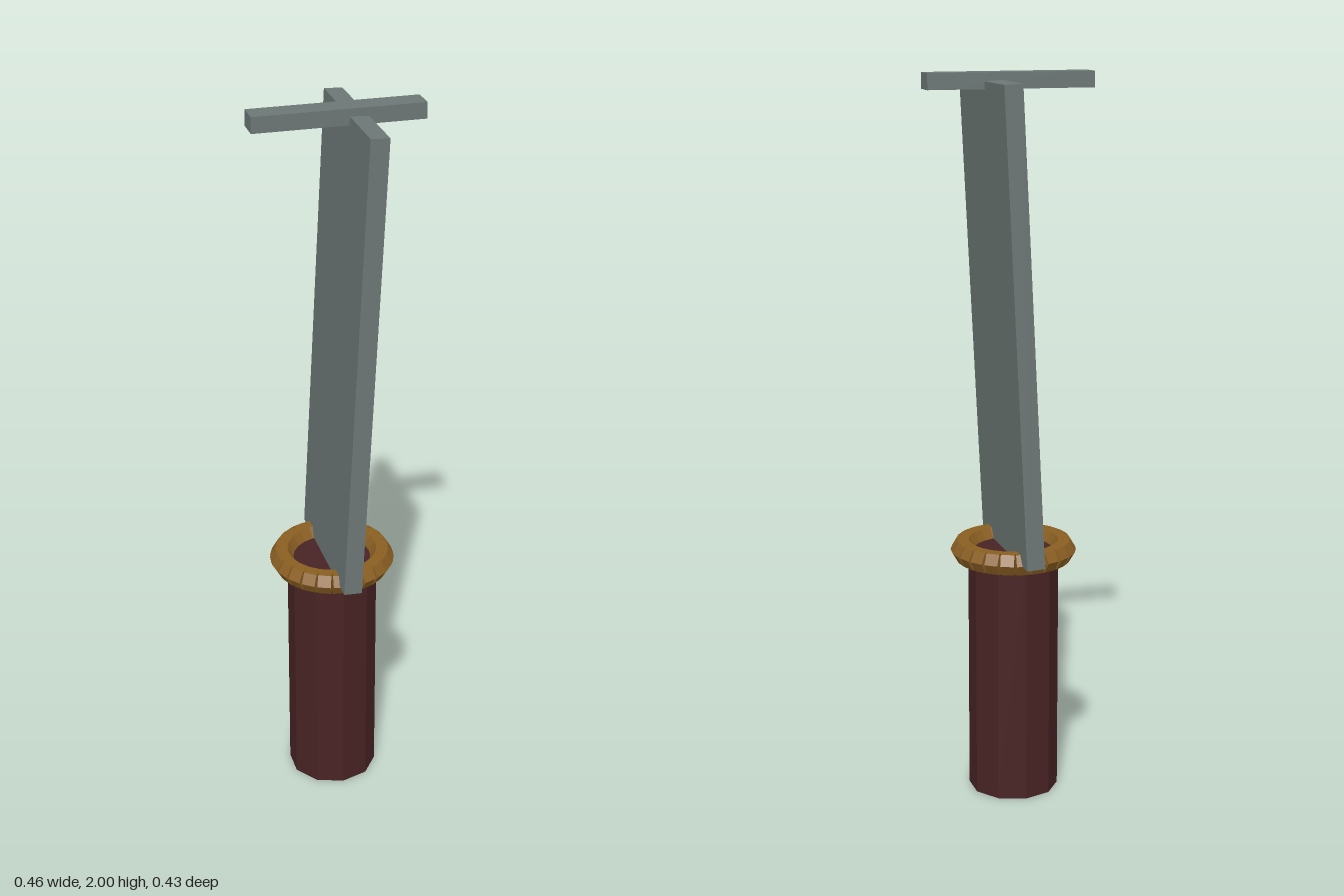
import * as THREE from 'three';

export function createModel() {
  const model = new THREE.Group();
  const mat = (name, color) => {
    const m = new THREE.MeshStandardMaterial({ color, flatShading: true });
    m.name = name;
    return m;
  };
  const steel = mat('steel grey', 0x6c7775);
  const brass = mat('brass brown', 0x8a5f22);
  const leather = mat('dark maroon', 0x482324);

  const add = (parent, name, geometry, material, x, y, z) => {
    const mesh = new THREE.Mesh(geometry, material);
    mesh.name = name;
    mesh.position.set(x, y, z);
    parent.add(mesh);
    return mesh;
  };

  const axisX = -0.014;
  const guardY = 0.698;

  // Ten-sided grip
  add(model, 'grip', new THREE.CylinderGeometry(0.125, 0.125, guardY, 10), leather, axisX, guardY / 2, 0);

  // Guard ring: short hexagonal rods set tangentially, with wedge gaps outside
  const guard = new THREE.Group();
  guard.name = 'guardRing';
  guard.position.set(axisX, guardY, 0);
  model.add(guard);
  const count = 24;
  const rod = new THREE.CylinderGeometry(0.033, 0.033, 0.037, 6);
  rod.rotateX(Math.PI / 2); // axis along z
  rod.rotateZ(Math.PI / 2); // hexagon corners point in and out
  for (let i = 0; i < count; i++) {
    const a = ((i + 0.5) / count) * Math.PI * 2;
    const link = add(guard, 'guardLink', rod, brass, Math.cos(a) * 0.14, 0, Math.sin(a) * 0.14);
    link.rotation.y = -a;
  }

  // Leaning slab blade
  const blade = add(model, 'blade', new THREE.BoxGeometry(0.05, 1.281, 0.427), steel, 0.0185, 1.339, 0);
  blade.rotation.z = -0.0495;

  // Crossbar on the tip
  add(model, 'tipBar', new THREE.BoxGeometry(0.455, 0.043, 0.066), steel, 0, 1.9785, -0.001);

  return model;
}
